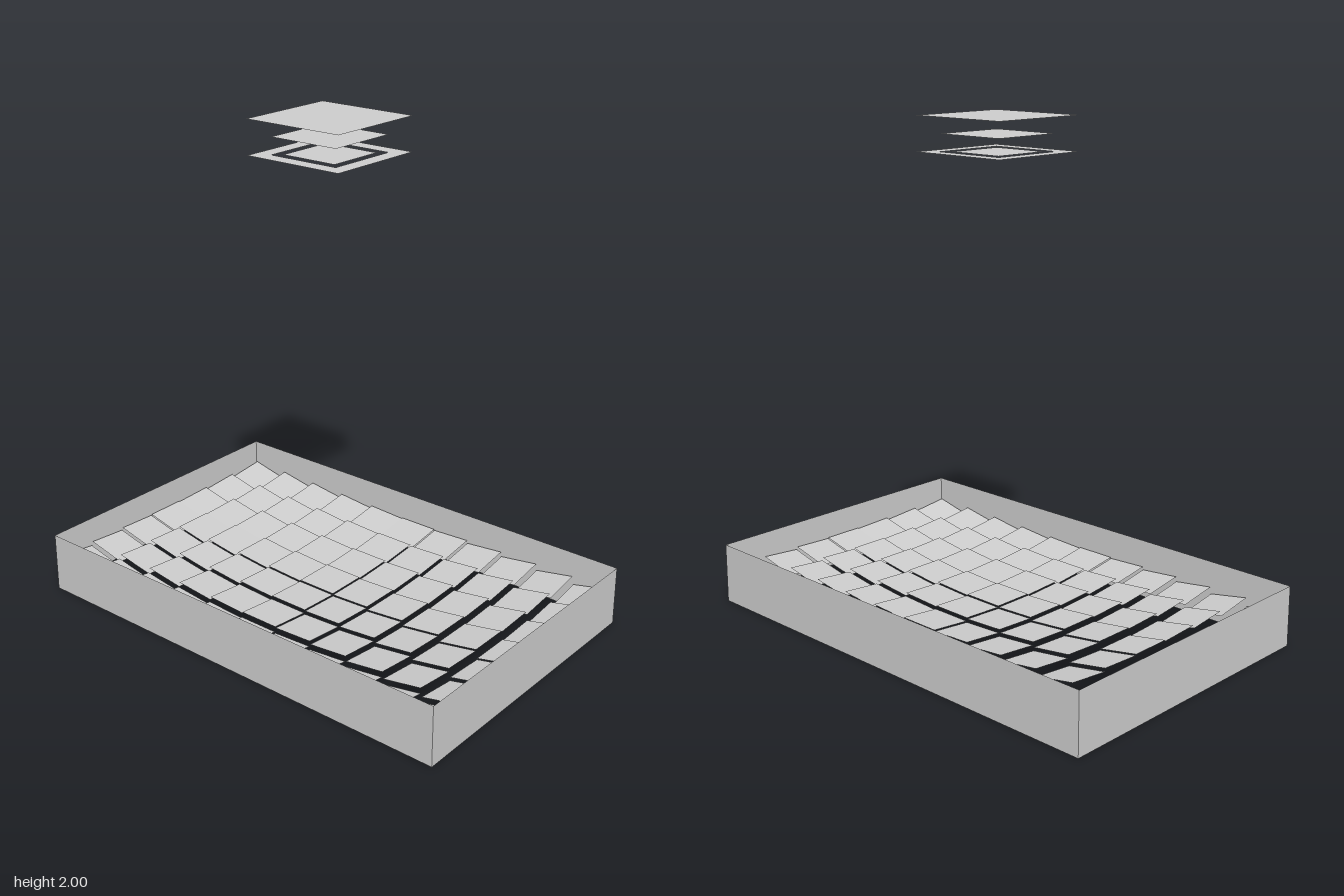
import * as THREE from 'three';

const material = new THREE.MeshStandardMaterial({ color: 0xcccccc, flatShading: true, side: THREE.DoubleSide });

const CASE = { x: 0.957, z: 0.613, height: 0.245 };
const COLUMNS = 11, ROWS = 7, PITCH = 0.172, TILE = 0.17, TILE_HEIGHT = 0.12;
const FOCUS_HEIGHT = 1.87;

// Thin horizontal square sheet, optionally with a square hole
function sheet(name, size, y, hole = 0) {
  const outline = (s) => [[-1, -1], [1, -1], [1, 1], [-1, 1]].map(([x, z]) => new THREE.Vector2(x * s / 2, z * s / 2));
  const shape = new THREE.Shape(outline(size));
  if (hole) shape.holes.push(new THREE.Path(outline(hole).reverse()));
  const mesh = new THREE.Mesh(new THREE.ShapeGeometry(shape).rotateX(-Math.PI / 2), material);
  mesh.name = name;
  mesh.position.y = y;
  return mesh;
}

// Four thin walls, open above and below
function createCase() {
  const group = new THREE.Group();
  group.name = 'caseWalls';
  for (let i = 0; i < 4; i++) {
    const side = i % 2 === 1;
    const wall = new THREE.Mesh(new THREE.PlaneGeometry(2 * (side ? CASE.z : CASE.x), CASE.height), material);
    wall.name = ['frontWall', 'leftWall', 'backWall', 'rightWall'][i];
    const angle = i * Math.PI / 2;
    wall.rotation.y = angle;
    wall.position.set(Math.sin(angle) * CASE.x, CASE.height / 2, Math.cos(angle) * CASE.z);
    group.add(wall);
  }
  return group;
}

// Flat mirror tiles, each tilted to reflect vertical light to the receiver
function createMirrors() {
  const group = new THREE.Group();
  group.name = 'mirrorField';
  const geometry = new THREE.PlaneGeometry(TILE, TILE).rotateX(-Math.PI / 2);
  const up = new THREE.Vector3(0, 1, 0);
  for (let i = 0; i < COLUMNS; i++) {
    for (let j = 0; j < ROWS; j++) {
      const tile = new THREE.Mesh(geometry, material);
      tile.name = 'mirrorTile';
      tile.position.set((i - (COLUMNS - 1) / 2) * PITCH, TILE_HEIGHT, (j - (ROWS - 1) / 2) * PITCH);
      const normal = new THREE.Vector3(0, FOCUS_HEIGHT, 0).sub(tile.position).normalize().add(up).normalize();
      tile.rotation.set(Math.asin(normal.z), 0, Math.atan2(-normal.x, normal.y), 'ZXY');
      group.add(tile);
    }
  }
  return group;
}

// Stacked sheets floating at the focus
function createReceiver() {
  const group = new THREE.Group();
  group.name = 'receiver';
  group.add(
    sheet('receiverTop', 0.425, 2.0),
    sheet('receiverMiddle', 0.3, 1.933),
    sheet('receiverFrame', 0.425, 1.867, 0.3),
    sheet('receiverTarget', 0.24, 1.867)
  );
  return group;
}

export function createModel() {
  const model = new THREE.Group();
  model.name = 'solarConcentrator';
  model.add(createCase(), createMirrors(), createReceiver());
  return model;
}
